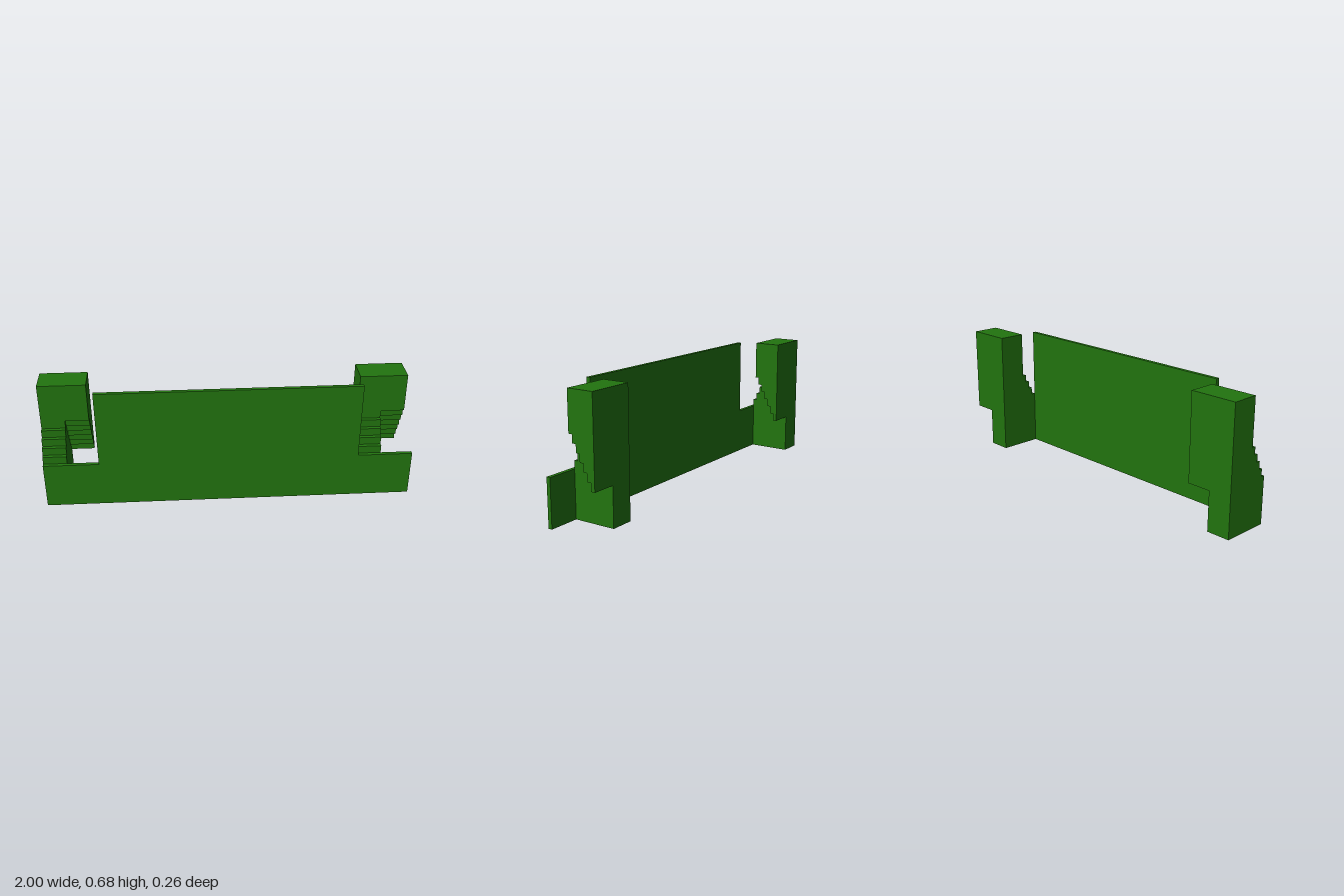
import * as THREE from 'three';

const U = 1 / 47; // grid unit: the wall is 94 units long

// Extrude a profile given as [z, y] points from x0 to x1 (in grid units).
function sideSlab(points, x0, x1) {
  const shape = new THREE.Shape(points.map(([z, y]) => new THREE.Vector2(z * U, y * U)));
  const geo = new THREE.ExtrudeGeometry(shape, { depth: (x1 - x0) * U, bevelEnabled: false });
  return geo.rotateY(-Math.PI / 2).translate(x1 * U, 0, 0);
}

export function createModel() {
  const model = new THREE.Group();
  const material = new THREE.MeshStandardMaterial({ color: 0x22740f, flatShading: true });
  const add = (parent, name, geometry) => {
    const mesh = new THREE.Mesh(geometry, material);
    mesh.name = name;
    parent.add(mesh);
  };

  // Thin front panel: a low full-length strip with a taller middle
  const outline = [[-47, 0], [47, 0], [47, 12], [33, 12], [33, 32], [-33, 32], [-33, 12], [-47, 12]];
  const panel = new THREE.Shape(outline.map(([x, y]) => new THREE.Vector2(x * U, y * U)));
  const panelGeo = new THREE.ExtrudeGeometry(panel, { depth: U, bevelEnabled: false });
  add(model, 'frontPanel', panelGeo.translate(0, 0, 5 * U));

  // Post profile: steps climb from the panel to the tall rear block
  const post = [[-6, 0], [5, 0]];
  for (let i = 0; i < 4; i++) post.push([5 - i, 14 + 2 * i], [4 - i, 14 + 2 * i]);
  post.push([1, 32], [-6, 32]);

  // Overhang profile: the underside steps down toward the back
  const overhang = [[1, 32], [-6, 32]];
  for (let i = 0; i < 7; i++) overhang.push([-6 + i, 10 + 2 * i], [-5 + i, 10 + 2 * i]);

  // Two identical supports, both overhanging toward +x
  for (const [name, x] of [['rightSupport', -47], ['leftSupport', 33]]) {
    const support = new THREE.Group();
    support.name = name;
    add(support, 'steppedPost', sideSlab(post, x, x + 6));
    add(support, 'steppedOverhang', sideSlab(overhang, x + 6, x + 12));
    model.add(support);
  }
  return model;
}
